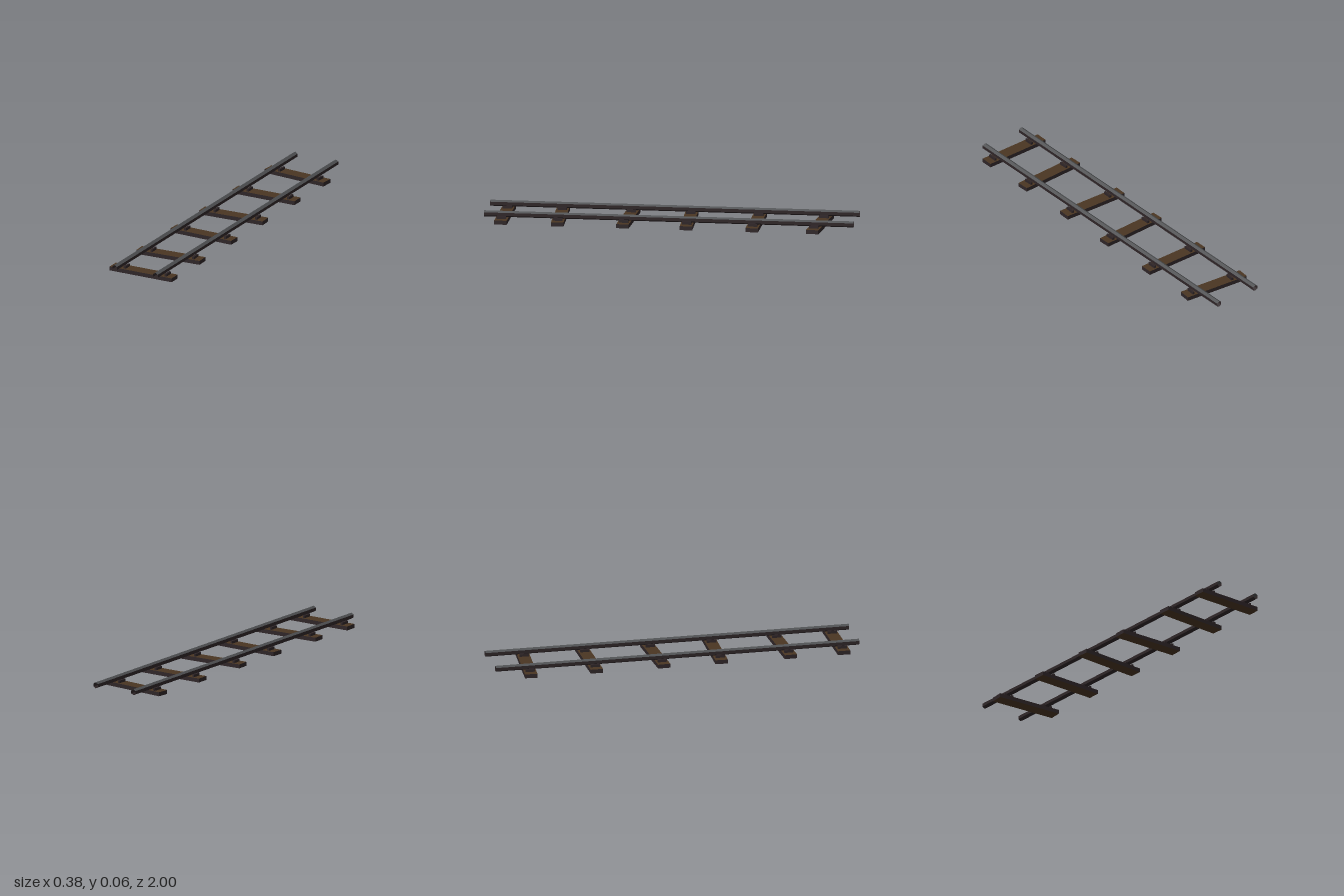
import * as THREE from 'three';

const mat = (name, color, extra = {}) => {
  const m = new THREE.MeshStandardMaterial({ color, flatShading: true, ...extra });
  m.name = name;
  return m;
};

export function createModel() {
  const wood = mat('brown wood', 0x4a3622);
  const dark = mat('dark edge', 0x2e2527);
  const darkRail = mat('dark rail', 0x2e2527, { side: THREE.DoubleSide });
  const steel = mat('grey steel', 0x4c4e50, { side: THREE.DoubleSide });

  const track = new THREE.Group();
  track.name = 'railTrack';
  const add = (parent, name, geo, material, x = 0, y = 0, z = 0) => {
    const mesh = new THREE.Mesh(geo, material);
    mesh.name = name;
    mesh.position.set(x, y, z);
    parent.add(mesh);
  };

  const railX = 0.125, railR = 0.0167, railY = 0.045;
  const tieH = 0.022, clipH = 0.014;

  // Open hexagonal rails with worn tops and dark sides
  const strip = (sides, start) => new THREE.CylinderGeometry(
    railR, railR, 2, sides, 1, true, start, sides * Math.PI / 3).rotateX(-Math.PI / 2);
  const railTop = strip(2, -Math.PI / 3);
  const railBody = strip(4, Math.PI / 3);
  for (const s of [-1, 1]) {
    const rail = new THREE.Group();
    rail.name = s > 0 ? 'leftRail' : 'rightRail';
    rail.position.set(s * railX, railY, 0);
    add(rail, 'railTop', railTop, steel);
    add(rail, 'railBody', railBody, darkRail);
    track.add(rail);
  }

  // Uneven wooden ties: [z, turn], each with a pair of clips at every rail
  const tieGeo = new THREE.BoxGeometry(0.38, tieH, 0.068);
  const clipGeo = new THREE.BoxGeometry(0.012, clipH, 0.05);
  const tieMaterials = [dark, dark, wood, wood, dark, dark];
  const ties = [[-0.8, -0.09], [-0.456, 0], [-0.093, 0.04], [0.237, -0.035], [0.604, 0.04], [0.904, 0]];
  for (const [z, turn] of ties) {
    const tie = new THREE.Group();
    tie.name = 'tie';
    tie.position.z = z;
    tie.rotation.y = turn;
    add(tie, 'plank', tieGeo, tieMaterials, 0, tieH / 2);
    for (const s of [-1, 1]) {
      for (const d of [-0.0215, 0.0215]) {
        add(tie, 'railClip', clipGeo, dark, s * railX + d, tieH + clipH / 2);
      }
    }
    track.add(tie);
  }
  return track;
}
